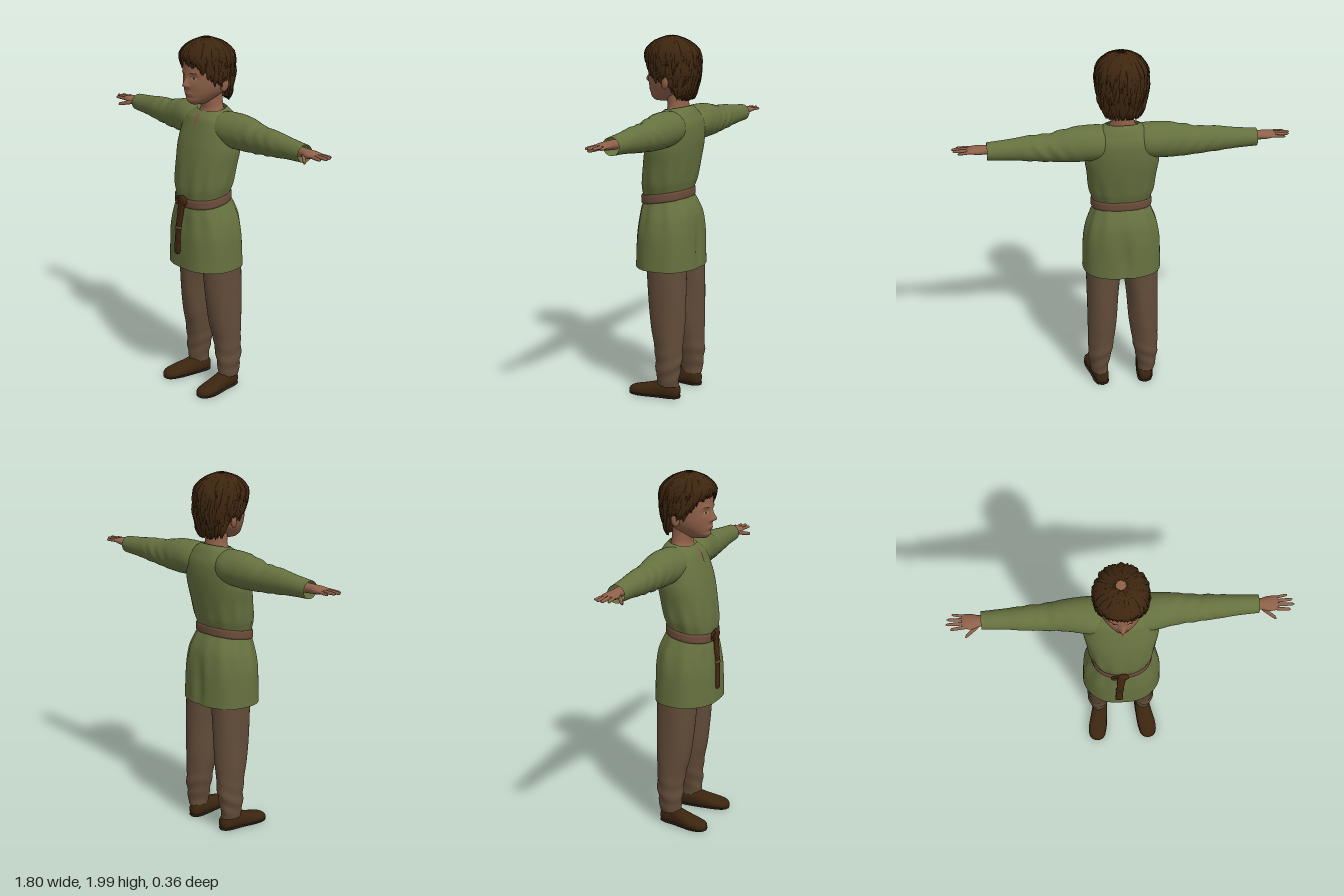
import * as THREE from 'three';
import { mergeGeometries } from 'three/addons/utils/BufferGeometryUtils.js';

const mat = (name, color, side = THREE.FrontSide) => {
  const m = new THREE.MeshStandardMaterial({ color, side });
  m.name = name;
  return m;
};

// Smooth monotone interpolation of rows [t, ...values]
function rowAt(rows, t) {
  let i = 0;
  while (i < rows.length - 2 && t > rows[i + 1][0]) i++;
  const slope = (j, k) => (rows[j + 1][k] - rows[j][k]) / (rows[j + 1][0] - rows[j][0]);
  const tangent = (j, k) => {
    if (j === 0) return slope(0, k);
    if (j === rows.length - 1) return slope(j - 1, k);
    const a = slope(j - 1, k), b = slope(j, k);
    return a * b <= 0 ? 0 : (2 * a * b) / (a + b);
  };
  const h = rows[i + 1][0] - rows[i][0];
  const u = Math.min(1, Math.max(0, (t - rows[i][0]) / h)), u2 = u * u, u3 = u2 * u;
  return rows[i].map((p, k) => k === 0 ? t :
    p * (2 * u3 - 3 * u2 + 1) + rows[i + 1][k] * (3 * u2 - 2 * u3) +
    tangent(i, k) * h * (u3 - 2 * u2 + u) + tangent(i + 1, k) * h * (u3 - u2));
}

// Grid surface from point(i, j); wrap joins the last column to the first
function grid(rows, cols, wrap, point) {
  const pos = [], index = [];
  for (let i = 0; i < rows; i++) for (let j = 0; j < cols; j++) pos.push(...point(i, j));
  for (let i = 0; i < rows - 1; i++) for (let j = 0; j < (wrap ? cols : cols - 1); j++) {
    const a = i * cols + j, c = i * cols + (j + 1) % cols;
    index.push(a, a + cols, c, c, a + cols, c + cols);
  }
  const g = new THREE.BufferGeometry();
  g.setAttribute('position', new THREE.Float32BufferAttribute(pos, 3));
  g.setIndex(index);
  g.computeVertexNormals();
  return g;
}

// Loft of rounded sections [t, centre1, centre2, radius1, radius2] along an axis
const ORDER = { y: (t, p, q) => [p, t, q], x: (t, p, q) => [t, q, p], z: (t, p, q) => [q, p, t] };
function loft(axis, rows, { n = 32, m = 24, e = 1, caps = true, shape = v => v } = {}) {
  const t0 = rows[0][0], t1 = rows.at(-1)[0], extra = caps ? 1 : 0;
  const pw = v => Math.sign(v) * Math.abs(v) ** e;
  return grid(m + 1 + 2 * extra, n, true, (i, j) => {
    const k = Math.min(m, Math.max(0, i - extra)), a = (j / n) * Math.PI * 2;
    const r = rowAt(rows, t0 + (t1 - t0) * (1 - Math.cos(Math.PI * k / m)) / 2);
    const s = caps && (i === 0 || i === m + 2) ? 0 : 1;
    return shape(ORDER[axis](r[0], r[1] + s * r[3] * pw(Math.cos(a)), r[2] + s * r[4] * pw(Math.sin(a))), a);
  });
}

function mirrored(g) {
  const c = g.clone().scale(-1, 1, 1), ix = c.index.array;
  for (let i = 0; i < ix.length; i += 3) [ix[i], ix[i + 1]] = [ix[i + 1], ix[i]];
  c.computeVertexNormals();
  return c;
}

const gauss = (v, c, w) => Math.exp(-(((v - c) / w) ** 2));

// Head sections and facial relief
const HEAD = [[1.64, 0, 0.05, 0.03, 0.05], [1.655, 0, 0.045, 0.05, 0.073], [1.68, 0, 0.026, 0.075, 0.098],
  [1.71, 0, 0.008, 0.096, 0.12], [1.75, 0, 0, 0.11, 0.132], [1.8, 0, -0.005, 0.117, 0.138],
  [1.86, 0, -0.008, 0.118, 0.138], [1.91, 0, -0.01, 0.1, 0.12], [1.95, 0, -0.01, 0.06, 0.07]];
function relief(x, y) {
  const ax = Math.abs(x);
  return 0.03 * gauss(x, 0, 0.013) * gauss(y, 1.747, y > 1.747 ? 0.032 : 0.012)
    + 0.009 * gauss(ax, 0.015, 0.008) * gauss(y, 1.743, 0.009)
    - 0.008 * gauss(ax, 0.045, 0.022) * gauss(y, 1.787, 0.015)
    + 0.004 * gauss(ax, 0.045, 0.03) * gauss(y, 1.812, 0.01)
    + 0.007 * gauss(x, 0, 0.024) * gauss(y, 1.698, 0.011)
    - 0.004 * gauss(x, 0, 0.03) * gauss(y, 1.68, 0.007);
}
function faceZ(x, y) {
  const r = rowAt(HEAD, y);
  return r[2] + r[4] * Math.sqrt(Math.max(0, 1 - (x / r[3]) ** 2)) + relief(x, y);
}
function facePlate(cx, cy, rx, ry, off) {
  const g = new THREE.CircleGeometry(1, 20), p = g.attributes.position;
  for (let i = 0; i < p.count; i++) {
    const x = cx + p.getX(i) * rx, y = cy + p.getY(i) * ry;
    p.setXYZ(i, x, y, faceZ(x, y) + off);
  }
  g.computeVertexNormals();
  return g;
}

// Hair volume, its lower edge by facing (-1 back, 1 front), and loose locks
const HAIR = [[1.63, 0, -0.06, 0.085, 0.045], [1.66, 0, -0.055, 0.098, 0.062], [1.7, 0, -0.04, 0.115, 0.092],
  [1.75, 0, -0.022, 0.127, 0.124], [1.8, 0, -0.014, 0.134, 0.143], [1.86, 0, -0.01, 0.136, 0.147],
  [1.9, 0, -0.005, 0.13, 0.146], [1.94, 0, -0.003, 0.109, 0.12], [1.97, 0, 0, 0.074, 0.08], [1.99, 0, 0, 0.025, 0.025]];
const EDGE = [[-1, 1.66], [-0.5, 1.665], [-0.3, 1.7], [-0.17, 1.77], [0.08, 1.775], [0.2, 1.75],
  [0.4, 1.775], [0.65, 1.82], [0.85, 1.855], [1, 1.872]];
const hairEdge = a => rowAt(EDGE, Math.sin(a))[1] - (Math.sin(a) > 0.4 ? 0.03 * Math.cos(a) * (Math.sin(a) - 0.4) : 0);
function hairPoint(a, y, off) {
  const r = rowAt(HAIR, y);
  return [(r[3] + off) * Math.cos(a), y, r[2] + (r[4] + off) * Math.sin(a)];
}
function hairGeometry() {
  let seed = 7;
  const rnd = () => (seed = (seed * 16807) % 2147483647) / 2147483647;
  const parts = [grid(28, 120, true, (i, j) => {
    const a = (j / 120) * Math.PI * 2, low = hairEdge(a) + 0.008 * Math.abs(Math.sin(a * 13));
    const y = low + (1.99 - low) * Math.sin((Math.max(0, i - 1) / 26) * Math.PI / 2);
    return hairPoint(a, y, i === 0 ? -0.03 : 0.003 * Math.sin(a * 22 + y * 25));
  })];
  for (let k = 0; k < 300; k++) {
    const fringe = k < 90;
    const a = fringe ? (k / 90) * Math.PI * 2 : rnd() * Math.PI * 2, low = hairEdge(a) - 0.014 * rnd();
    const top = fringe ? low + 0.07 + 0.05 * rnd() : Math.min(1.985, low + 0.1 + rnd() * 0.27);
    const tip = Math.max(low, top - 0.1 - 0.05 * rnd());
    const w = 0.07 + 0.06 * rnd(), sweep = (rnd() - 0.3) * 0.3, lift = 0.006 + 0.008 * rnd();
    parts.push(grid(7, 3, false, (i, j) => {
      const u = i / 6, width = w * Math.sin(Math.PI * (0.04 + 0.88 * u));
      const off = j === 1 ? lift * Math.sin(Math.PI * (0.2 + 0.75 * u)) : -0.002;
      return hairPoint(a + sweep * (1 - u) + (j - 1) * width, tip + (top - tip) * u, off);
    }));
  }
  return mergeGeometries(parts);
}

export function createModel() {
  const model = new THREE.Group();
  model.name = 'child';
  const D = THREE.DoubleSide;
  const skin = mat('skin', 0x8f6149), hair = mat('hair', 0x3e260f, D), cloth = mat('green cloth', 0x66713f, D),
    trouser = mat('brown cloth', 0x624c39, D), leather = mat('belt leather', 0x6b4c3a, D), shoe = mat('shoe leather', 0x3b250f),
    strap = mat('dark strap', 0x42260f), sole = mat('sole', 0x33261d), white = mat('eye white', 0x9c8d80), lip = mat('lips', 0x85533f);
  const add = (name, geo, material) => {
    const m = new THREE.Mesh(geo, material);
    m.name = name;
    model.add(m);
    return m;
  };
  const pair = (name, geo, material) => {
    add(name + 'Left', geo, material);
    add(name + 'Right', mirrored(geo), material);
  };

  // Head, neck and face
  add('head', loft('y', HEAD, { n: 96, m: 70, shape: ([x, y, z], a) =>
    [x, y, z + (Math.sin(a) > 0 ? relief(x, y) : 0)] }), skin);
  add('neck', loft('y', [[1.53, 0, -0.035, 0.1, 0.085], [1.575, 0, -0.037, 0.086, 0.066], [1.61, 0, -0.04, 0.064, 0.058],
    [1.66, 0, -0.035, 0.058, 0.06], [1.72, 0, -0.03, 0.06, 0.065]]), skin);
  pair('ear', new THREE.SphereGeometry(1, 16, 12).scale(0.014, 0.036, 0.023).rotateX(-0.15).rotateY(-0.3)
    .translate(0.122, 1.748, -0.025), skin);
  pair('eye', facePlate(0.045, 1.787, 0.016, 0.007, 0.002), white);
  pair('iris', facePlate(0.045, 1.787, 0.0065, 0.0065, 0.0035), strap);
  pair('eyebrow', facePlate(0.047, 1.814, 0.023, 0.003, 0.002), hair);
  add('mouth', facePlate(0, 1.698, 0.024, 0.006, 0.002), lip);
  add('hair', hairGeometry(), hair);

  // Tunic body, pinched along a tilted waist
  const tilt = (y, z) => y - 0.16 * z * gauss(y, 1.125, 0.13);
  const TUNIC = [[0.73, 0, 0.003, 0.218, 0.177], [0.9, 0, 0.003, 0.212, 0.172], [1.0, 0, 0.004, 0.195, 0.161],
    [1.07, 0, 0.014, 0.17, 0.144], [1.125, 0, 0.022, 0.152, 0.126], [1.2, 0, 0.015, 0.174, 0.138], [1.3, 0, 0, 0.187, 0.14],
    [1.4, 0, -0.018, 0.2, 0.137], [1.48, 0, -0.033, 0.195, 0.127], [1.54, 0, -0.04, 0.175, 0.112],
    [1.58, 0, -0.04, 0.13, 0.09], [1.605, 0, -0.04, 0.088, 0.066]];
  add('tunicBody', loft('y', TUNIC, { n: 96, m: 64, e: 0.88, caps: false, shape: ([x, y, z], a) => {
    const fold = 1 + 0.02 * Math.sin(a * 11 + 1) * (gauss(y, 1.02, 0.12) + gauss(y, 1.22, 0.08)) + 0.008 * Math.sin(a * 7) * gauss(y, 0.75, 0.2);
    const cleft = z < 0 ? 0.018 * gauss(x, 0, 0.03) * gauss(y, 0.85, 0.14) : 0;
    const collar = Math.max(0, y - 1.56) * -4 * (z + 0.035);
    return [x * fold, tilt(y, z) + collar, z * fold + cleft];
  } }), cloth);

  // Neck opening: narrow slit below the collar
  add('neckSlit', grid(9, 3, false, (i, j) => {
    const u = i / 8, y = 1.5 + 0.085 * u, r = rowAt(TUNIC, y);
    return [(j - 1) * (0.001 + 0.012 * u), y - Math.max(0, y - 1.56) * 4 * (r[2] + r[4] + 0.035), r[2] + r[4] + 0.004];
  }).scale(-1, 1, 1), mat('slit skin', 0x8f6149, D)).material = lip;
  lip.side = D;

  // Sleeves with gathered wrinkles
  pair('sleeve', loft('x', [[0.05, -0.045, 1.505, 0.08, 0.085], [0.14, -0.05, 1.508, 0.1, 0.093], [0.22, -0.055, 1.507, 0.092, 0.096],
    [0.3, -0.06, 1.503, 0.08, 0.09], [0.4, -0.06, 1.496, 0.07, 0.075], [0.5, -0.06, 1.498, 0.063, 0.068],
    [0.6, -0.062, 1.497, 0.054, 0.056], [0.718, -0.063, 1.495, 0.048, 0.047]], { n: 40, m: 70, caps: false, shape: ([x, y, z], a) => {
    const w = 0.05 * Math.sin(x * 75 + 2 * Math.sin(a * 2)) * gauss(x, 0.4, 0.13) * (0.6 + 0.4 * Math.sin(a * 3 + x * 12));
    return [x, y + (y - 1.5) * w, z + (z + 0.06) * w];
  } }), cloth);

  // Hands: palm, four fingers and thumb
  const finger = (x0, x1, z0, z1, y0, y1, r) => loft('x', [0, 0.5, 0.9, 1].map((u, i) => {
    const s = [1, 0.95, 0.75, 0.15][i] * r;
    return [x0 + (x1 - x0) * u, z0 + (z1 - z0) * u, y0 + (y1 - y0) * u, s, s];
  }), { n: 10, m: 10 });
  pair('hand', mergeGeometries([
    loft('x', [[0.68, -0.06, 1.5, 0.03, 0.026], [0.725, -0.058, 1.502, 0.03, 0.024], [0.77, -0.056, 1.503, 0.042, 0.021],
      [0.805, -0.058, 1.505, 0.041, 0.014], [0.82, -0.058, 1.505, 0.034, 0.009]], { n: 24, m: 16 }),
    finger(0.795, 0.88, -0.027, -0.018, 1.505, 1.503, 0.0095), finger(0.8, 0.902, -0.047, -0.045, 1.506, 1.507, 0.0098),
    finger(0.8, 0.895, -0.067, -0.072, 1.506, 1.507, 0.0095), finger(0.795, 0.87, -0.086, -0.1, 1.504, 1.503, 0.0083),
    finger(0.735, 0.805, -0.035, 0.018, 1.495, 1.478, 0.0125)]), skin);

  // Belt, knot and hanging end
  add('belt', loft('y', [[1.1, 0, 0.022, 0.161, 0.131], [1.106, 0, 0.022, 0.166, 0.136], [1.144, 0, 0.022, 0.166, 0.136],
    [1.15, 0, 0.022, 0.161, 0.131]], { n: 64, m: 8, e: 0.88, caps: false, shape: ([x, y, z]) => [x, y - 0.16 * z, z] }), leather);
  add('beltRing', new THREE.TorusGeometry(0.021, 0.007, 8, 24).translate(-0.038, 1.108, 0.163), strap);
  add('beltKnot', new THREE.SphereGeometry(1, 20, 14).scale(0.033, 0.03, 0.016).translate(0, 1.112, 0.162), strap);
  add('beltEnd', loft('y', [[0.808, -0.023, 0.184, 0.016, 0.006], [0.82, -0.023, 0.184, 0.021, 0.008], [0.95, -0.018, 0.18, 0.019, 0.008],
    [1.04, -0.012, 0.17, 0.021, 0.01], [1.12, -0.005, 0.163, 0.025, 0.01]], { n: 20, m: 20, e: 0.6 }), strap);
  add('beltEndBand', loft('y', [[0.952, -0.018, 0.18, 0.021, 0.01], [0.966, -0.018, 0.179, 0.021, 0.01]],
    { n: 20, m: 2, e: 0.6 }), leather);

  // Trouser legs, creased towards the ankle
  pair('trouserLeg', loft('y', [[0.072, 0.135, -0.055, 0.048, 0.06], [0.12, 0.137, -0.052, 0.055, 0.066], [0.2, 0.131, -0.055, 0.067, 0.075],
    [0.3, 0.124, -0.05, 0.075, 0.082], [0.4, 0.118, -0.042, 0.082, 0.097], [0.55, 0.113, -0.033, 0.088, 0.108],
    [0.73, 0.104, -0.025, 0.097, 0.115], [0.9, 0.1, -0.02, 0.099, 0.12]], { n: 40, m: 60, shape: ([x, y, z], a) => {
    const w = 0.045 * Math.sin(y * 70 + 2.5 * Math.sin(a + 1)) * gauss(y, 0.17, 0.1) + 0.015 * Math.sin(a * 5 + y * 9);
    return [x + (x - 0.125) * w, y, z + (z + 0.05) * w];
  } }), trouser);

  // Shoes and soles
  const SHOE = [[-0.118, 0.035, 0.125, 0.008, 0.008], [-0.108, 0.038, 0.125, 0.036, 0.03], [-0.07, 0.045, 0.128, 0.048, 0.043],
    [-0.02, 0.045, 0.133, 0.05, 0.046], [0.03, 0.036, 0.141, 0.044, 0.05], [0.09, 0.029, 0.151, 0.034, 0.054],
    [0.14, 0.023, 0.156, 0.028, 0.048], [0.17, 0.019, 0.156, 0.019, 0.03], [0.178, 0.016, 0.156, 0.005, 0.008]];
  pair('shoe', loft('z', SHOE, { n: 32, m: 36, e: 0.85, shape: ([x, y, z]) => [x, Math.max(y, 0.008), z] }), shoe);
  pair('sole', loft('z', SHOE.map(([z, , cx, , rx]) => [z, 0.006, cx, 0.006, rx * 1.03]), { n: 24, m: 36, e: 0.5 }), sole);
  return model;
}
